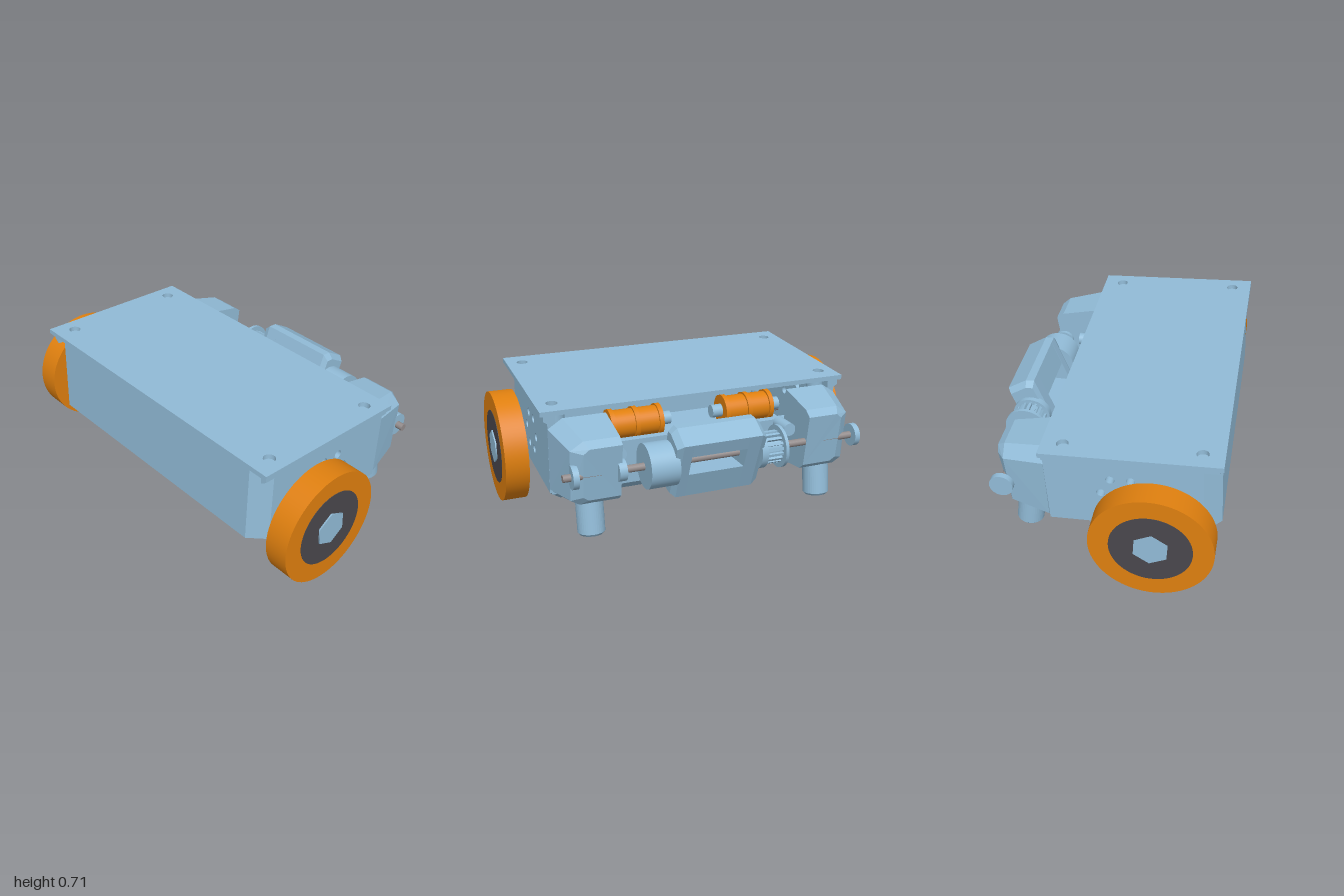
import * as THREE from 'three';

const paint = (name, color) => {
  const m = new THREE.MeshStandardMaterial({ color });
  m.name = name;
  return m;
};

export function createModel() {
  const blue = paint('shellBlue', 0x92bcd8);
  const orange = paint('tyreOrange', 0xe0800f);
  const dark = paint('hubCharcoal', 0x4a484d);
  const steel = paint('shaftSteel', 0x938c8c);

  const model = new THREE.Group();
  model.name = 'wedgeRobot';

  const add = (parent, name, geo, mat, x = 0, y = 0, z = 0) => {
    const m = new THREE.Mesh(geo, mat);
    m.name = name;
    m.position.set(x, y, z);
    parent.add(m);
    return m;
  };
  const group = (parent, name, x = 0, y = 0, z = 0) => {
    const g = new THREE.Group();
    g.name = name;
    g.position.set(x, y, z);
    parent.add(g);
    return g;
  };
  // Cylinder lying along x between x0 and x1
  const rod = (parent, name, x0, x1, r, mat, y = 0, z = 0, sides = 40) =>
    add(parent, name, new THREE.CylinderGeometry(r, r, x1 - x0, sides).rotateZ(Math.PI / 2), mat, (x0 + x1) / 2, y, z);
  const poly = (pts) => new THREE.Shape(pts.map(([a, b]) => new THREE.Vector2(a, b)));
  const hole = (x, y, r) => new THREE.Path().absarc(x, y, r, 0, Math.PI * 2, true);
  const extrude = (shape, depth) =>
    new THREE.ExtrudeGeometry(shape, { depth, bevelEnabled: false, curveSegments: 24 });
  // Plan shape (x, z) raised between two heights
  const slab = (shape, y0, y1) => extrude(shape, y1 - y0).rotateX(Math.PI / 2).translate(0, y1, 0);
  // Side profile (z, y) extended between two x positions
  const sideways = (shape, x0, x1) => extrude(shape, x1 - x0).rotateY(-Math.PI / 2).translate(x1, 0, 0);

  // Flat-sided solid through convex cross-sections, wound outwards
  const loft = (sections) => {
    const n = sections[0].length;
    const tris = [];
    for (let s = 0; s + 1 < sections.length; s++) {
      const [a, b] = [sections[s], sections[s + 1]];
      for (let i = 0; i < n; i++) {
        const j = (i + 1) % n;
        tris.push([a[i], a[j], b[j]], [a[i], b[j], b[i]]);
      }
    }
    const end = sections[sections.length - 1];
    for (let i = 1; i + 1 < n; i++) {
      tris.push([sections[0][0], sections[0][i + 1], sections[0][i]], [end[0], end[i], end[i + 1]]);
    }
    const v = (p) => new THREE.Vector3(...p);
    const volume = tris.reduce((sum, [a, b, c]) => sum + v(a).dot(v(b).cross(v(c))), 0);
    const ordered = volume < 0 ? tris.map(([a, b, c]) => [a, c, b]) : tris;
    const geo = new THREE.BufferGeometry();
    geo.setAttribute('position', new THREE.Float32BufferAttribute(ordered.flat(2), 3));
    geo.computeVertexNormals();
    return geo;
  };

  // ---- Chassis, nose tipped up a little ----
  const W = 0.805, FRONT = 0.625, REAR = -0.22, CUT = 0.08, T = 0.04;
  const chassis = group(model, 'chassis', 0.0125);
  chassis.rotation.x = -0.0575;

  // Floor with chamfered edges
  const plan = (w, zf, zr, y) => [
    [w, y, zr], [w, y, zf - CUT], [w - CUT, y, zf],
    [CUT - w, y, zf], [-w, y, zf - CUT], [-w, y, zr],
  ];
  add(chassis, 'floor', loft([plan(W - 0.065, FRONT - 0.065, REAR + 0.06, 0.16), plan(W, FRONT, REAR, 0.225)]), blue);

  // Front wall wrapping round the corners
  const zs = FRONT - CUT - 0.02;
  add(chassis, 'frontWall', slab(poly([
    [W, zs], [W, FRONT - CUT], [W - CUT, FRONT], [CUT - W, FRONT], [-W, FRONT - CUT], [-W, zs],
    [T - W, zs], [T - W, FRONT - CUT - T / 2], [CUT - W + T / 2, FRONT - T],
    [W - CUT - T / 2, FRONT - T], [W - T, FRONT - CUT - T / 2], [W - T, zs],
  ]), 0.225, 0.645), blue);

  // Side walls with a ring of mounting holes, and a sloping lip under the lid
  for (const s of [1, -1]) {
    const wall = poly([[REAR, 0.225], [zs, 0.225], [zs, 0.645], [REAR, 0.645]]);
    for (let i = 0; i < 6; i++) {
      const a = (i * Math.PI) / 3;
      wall.holes.push(hole(0.15 + 0.1 * Math.cos(a), 0.42 + 0.1 * Math.sin(a), 0.022));
    }
    add(chassis, 'sideWall', sideways(wall, s > 0 ? W - T : -W, s > 0 ? W : T - W), blue);
    const lip = (z) => [[s * (W - 0.01), 0.595, z], [s * (W + 0.02), 0.615, z], [s * (W + 0.02), 0.645, z], [s * (W - 0.01), 0.645, z]];
    add(chassis, 'lidLip', loft([lip(REAR), lip(FRONT - 0.005)]), blue);
    for (const z of [-0.125, 0.535]) {
      add(chassis, 'lidPost', new THREE.CylinderGeometry(0.045, 0.045, 0.4, 24), blue, s * 0.74, 0.43, z);
    }
  }
  add(chassis, 'rearWall', new THREE.BoxGeometry(2 * W - 0.02, 0.24, T), blue, 0, 0.335, REAR + T / 2);

  // Lid with corner screw holes
  const lid = poly([[-0.843, -0.23], [0.843, -0.23], [0.843, 0.64], [-0.843, 0.64]]);
  for (const x of [-0.757, 0.757]) for (const z of [-0.125, 0.535]) lid.holes.push(hole(x, z, 0.03));
  add(chassis, 'lid', slab(lid, 0.645, 0.67), blue);

  // Motors seen through the slot at the back
  for (const s of [1, -1]) {
    const motor = group(chassis, 'driveMotor', s * 0.32, 0.5, -0.1);
    rod(motor, 'motorCan', -0.13, 0.13, 0.075, orange);
    for (const x of [-0.13, 0, 0.13]) rod(motor, 'motorBand', x - 0.012, x + 0.012, 0.085, orange);
    rod(motor, 'motorBoss', -0.2, 0.2, 0.035, blue);
  }

  // ---- Wheels ----
  for (const [s, x] of [[1, 0.9275], [-1, 0.934]]) {
    const wheel = group(model, s > 0 ? 'leftWheel' : 'rightWheel', s * x, 0.3, 0.3);
    rod(wheel, 'tyre', -0.0625, 0.0625, 0.3, orange, 0, 0, 80);
    rod(wheel, 'hub', -0.0645, 0.0645, 0.2, dark, 0, 0, 64);
    const cap = s > 0 ? 0.072 : 0.066;
    rod(wheel, 'hexDrive', -cap, cap, 0.092, blue, 0, 0, 6).rotation.x = Math.PI / 2 + 0.04;
    const inner = group(wheel, 'axle');
    inner.scale.x = 1;
    const span = (name, a, b, r, mat) => rod(inner, name, Math.min(-s * a, -s * b), Math.max(-s * a, -s * b), r, mat);
    span('axleFlange', 0.06, 0.082, 0.085, blue);
    span('axleCollar', 0.08, 0.1, 0.06, blue);
    span('axleShaft', 0.06, 0.2, 0.018, steel);
  }

  // ---- Rear pods that hold the weapon shaft, with skid legs ----
  const podSections = [
    [[0.507, 0.195, -0.235], [0.76, 0.195, -0.235], [0.805, 0.235, -0.237], [0.805, 0.56, -0.253], [0.73, 0.61, -0.255], [0.507, 0.61, -0.255]],
    [[0.507, 0.22, -0.435], [0.71, 0.22, -0.435], [0.755, 0.25, -0.44], [0.755, 0.515, -0.468], [0.69, 0.56, -0.475], [0.507, 0.56, -0.475]],
    [[0.507, 0.25, -0.47], [0.67, 0.25, -0.47], [0.7, 0.27, -0.473], [0.7, 0.505, -0.51], [0.67, 0.53, -0.515], [0.507, 0.53, -0.515]],
  ];
  const legProfile = [[0, 0], [0.06, 0], [0.07, 0.012], [0.07, 0.25], [0, 0.25]].map(([r, y]) => new THREE.Vector2(r, y));
  for (const s of [1, -1]) {
    const pod = group(model, s > 0 ? 'leftPod' : 'rightPod', 0.0125);
    add(pod, 'podShell', loft(podSections.map((sec) => sec.map(([x, y, z]) => [s * x, y, z]))), blue);
    const legGeo = new THREE.LatheGeometry(legProfile, 40).toNonIndexed();
    legGeo.computeVertexNormals();
    add(pod, 'skidLeg', legGeo, blue, s * 0.643, 0.035, -0.39).rotation.x = 0.125;
    const stub = new THREE.CylinderGeometry(0.035, 0.035, 0.13, 24).rotateX(Math.PI / 2);
    add(pod, 'podStub', stub, blue, s * 0.475, 0.42, -0.305);
  }

  // ---- Weapon drum, pulley and shaft ----
  const weapon = group(model, 'weapon', 0, 0.385, -0.472);
  rod(weapon, 'weaponShaft', -0.77, 0.81, 0.019, steel);
  rod(weapon, 'rightEndWasher', -0.8, -0.77, 0.06, blue);
  rod(weapon, 'leftEndWasher', 0.74, 0.77, 0.06, blue);
  rod(weapon, 'leftShaftCollar', 0.5, 0.54, 0.055, blue);
  rod(weapon, 'rightShaftCollar', -0.365, -0.34, 0.05, blue);

  // Drum ends are full sections; two solid bars join them around an open window
  const drum = [[0.01, 0.19], [-0.035, 0.187], [-0.135, 0.125], [-0.01, -0.19], [0.035, -0.187], [0.135, -0.125]];
  const cut = (x, k) => drum.map(([z, y]) => [x, y * k, z * k]);
  add(weapon, 'drumEndRight', loft([cut(-0.21, 0.85), cut(-0.18, 1), cut(-0.11, 1)]), blue);
  add(weapon, 'drumEndLeft', loft([cut(0.19, 1), cut(0.24, 1), cut(0.27, 0.85)]), blue);
  for (const s of [1, -1]) {
    const bar = poly([[0.01, 0.19], [-0.035, 0.187], [-0.135, 0.125], [-0.108, 0.055], [0.063, 0.055]].map(([z, y]) => [s * z, s * y]));
    add(weapon, 'drumBar', sideways(bar, -0.11, 0.19), blue);
  }
  rod(weapon, 'drumBoss', 0.25, 0.4, 0.115, blue, 0, 0, 56);

  // Toothed pulley
  rod(weapon, 'pulleyCore', -0.33, -0.2, 0.07, blue);
  rod(weapon, 'pulleyInnerFlange', -0.235, -0.2, 0.1, blue);
  rod(weapon, 'pulleyOuterFlange', -0.345, -0.328, 0.112, blue, 0, 0, 56);
  for (let i = 0; i < 18; i++) {
    const a = (i / 18) * Math.PI * 2;
    const tooth = new THREE.BoxGeometry(0.1, 0.02, 0.014);
    add(weapon, 'pulleyTooth', tooth, blue, -0.28, 0.075 * Math.cos(a), 0.075 * Math.sin(a)).rotation.x = a;
  }

  return model;
}
